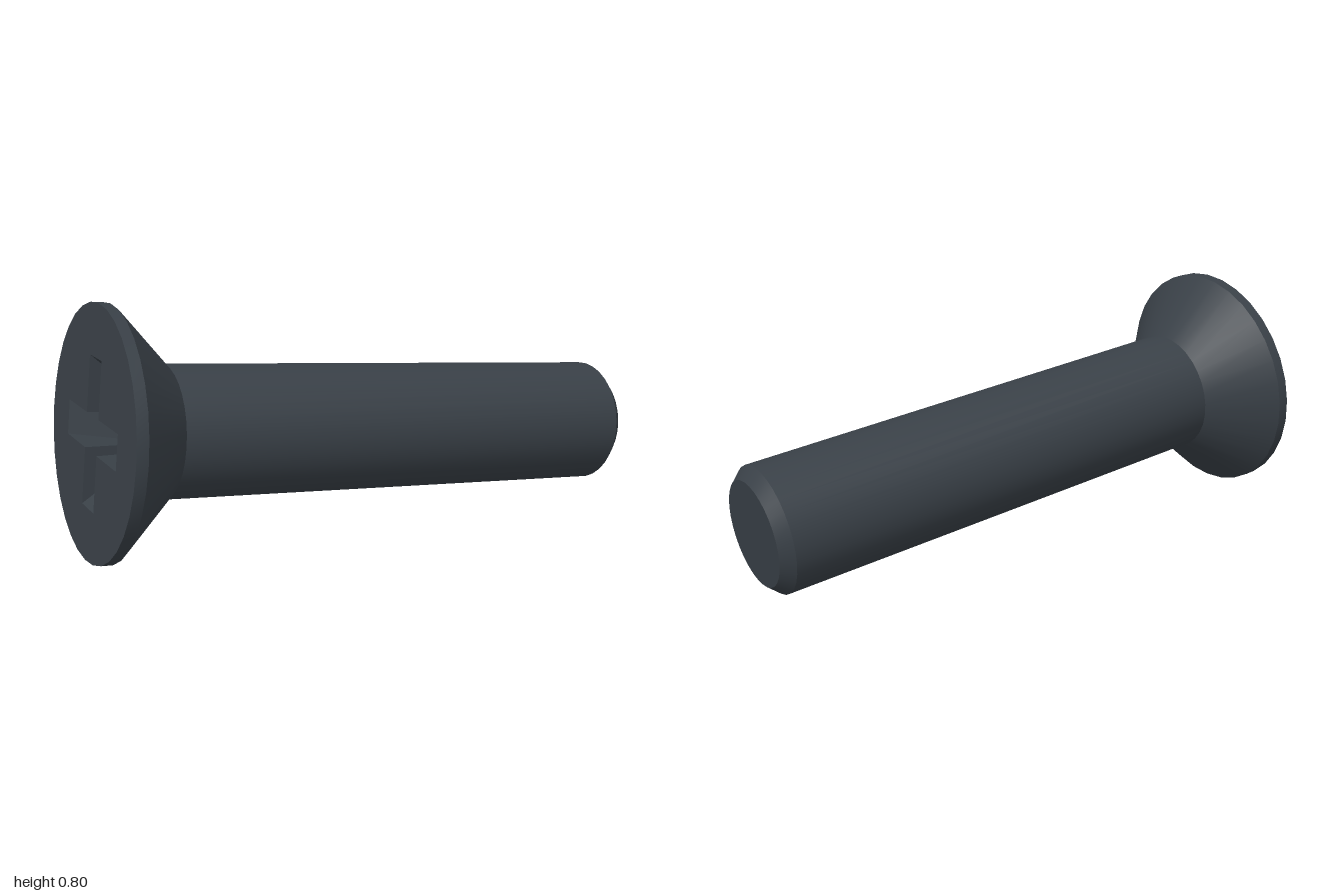
import * as THREE from 'three';
import { toCreasedNormals } from 'three/addons/utils/BufferGeometryUtils.js';

const SEGMENTS = 32;
const HEAD_R = 0.402, SHANK_R = 0.213, TIP_R = 0.176, LENGTH = 1.917;

// Outline of the cross recess, counterclockwise: arm reach and half width
function crossPoints(reach, half) {
  const points = [];
  for (let i = 0; i < 4; i++) {
    for (const [x, y] of [[reach, -half], [reach, half], [half, half]]) {
      points.push(new THREE.Vector2(x, y).rotateAround(new THREE.Vector2(), i * Math.PI / 2));
    }
  }
  return points;
}

// Walls running from the mouth outline down to the floor outline
function recessWalls(mouth, floor, depth) {
  const positions = [];
  mouth.forEach((p, i) => {
    const j = (i + 1) % mouth.length;
    const q = mouth[j], pb = floor[i], qb = floor[j];
    positions.push(p.x, p.y, 0, q.x, q.y, 0, qb.x, qb.y, -depth);
    positions.push(p.x, p.y, 0, qb.x, qb.y, -depth, pb.x, pb.y, -depth);
  });
  const geometry = new THREE.BufferGeometry();
  geometry.setAttribute('position', new THREE.Float32BufferAttribute(positions, 3));
  geometry.computeVertexNormals();
  return geometry;
}

export function createModel() {
  const steel = new THREE.MeshStandardMaterial({ color: 0x394047 });
  steel.name = 'dark steel';
  const screw = new THREE.Group();
  screw.name = 'countersunk screw';

  const add = (name, geometry) => {
    const mesh = new THREE.Mesh(geometry, steel);
    mesh.name = name;
    screw.add(mesh);
  };

  // Chamfered tip, shank, countersunk cone and thin rim
  const profile = [
    [0, -LENGTH], [TIP_R, -LENGTH], [SHANK_R, -LENGTH + 0.04],
    [SHANK_R, -0.225], [HEAD_R, -0.037], [HEAD_R, 0],
  ].map(([r, y]) => new THREE.Vector2(r, y));
  add('shank and head', toCreasedNormals(new THREE.LatheGeometry(profile, SEGMENTS), 0.5));

  // Flat head face with a cross-shaped opening
  const mouth = crossPoints(0.236, 0.056);
  const floor = crossPoints(0.11, 0.05);
  const depth = 0.16;
  const rim = [];
  for (let i = 0; i < SEGMENTS; i++) {
    const a = i / SEGMENTS * Math.PI * 2;
    rim.push(new THREE.Vector2(HEAD_R * Math.cos(a), HEAD_R * Math.sin(a)));
  }
  const face = new THREE.Shape(rim);
  face.holes.push(new THREE.Path([...mouth].reverse()));
  add('head face', new THREE.ShapeGeometry(face).rotateX(-Math.PI / 2));

  // Driver recess
  add('recess walls', recessWalls(mouth, floor, depth).rotateX(-Math.PI / 2));
  add('recess floor', new THREE.ShapeGeometry(new THREE.Shape(floor))
    .translate(0, 0, -depth).rotateX(-Math.PI / 2));

  // Lay the screw down, resting on its head and tip
  const up = new THREE.Vector3(-0.973, 0.1, -0.207).normalize();
  const side = new THREE.Vector3(0, 1, 0).addScaledVector(up, -up.y).normalize();
  const third = new THREE.Vector3().crossVectors(side, up);
  screw.quaternion.setFromRotationMatrix(new THREE.Matrix4().makeBasis(side, up, third));
  screw.position.set(-0.907, 0.403, -0.1);

  const model = new THREE.Group();
  model.name = 'screw';
  model.add(screw);
  return model;
}
